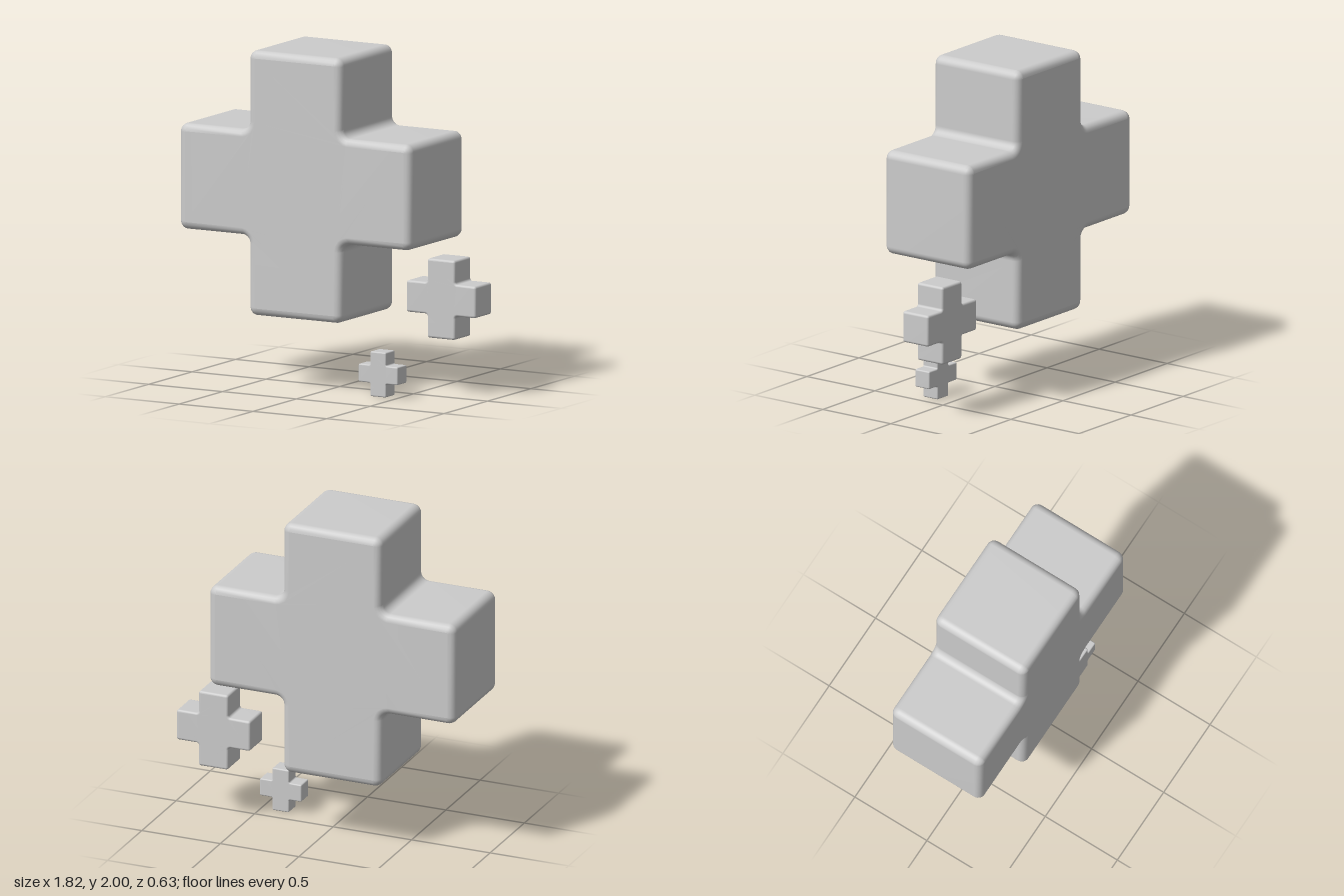
import * as THREE from 'three';
import { mergeVertices } from 'three/addons/utils/BufferGeometryUtils.js';

const SPAN = 0.785;   // half length of the cross
const ARM = 0.314;    // half width and half depth of an arm
const BEVEL = 0.045;
const ROUND = 0.05;   // outline corner radius

// Plus-shaped outline with rounded outer corners and filleted inner corners
function plusOutline() {
  const shape = new THREE.Shape();
  const q = Math.PI / 2;
  for (let k = 0; k < 4; k++) {
    const t = k * q;
    const arc = (x, y, from, to, clockwise) => {
      const p = new THREE.Vector2(x, y).rotateAround(new THREE.Vector2(), t);
      shape.absarc(p.x, p.y, ROUND, from + t, to + t, clockwise);
    };
    arc(ARM + ROUND, -ARM - ROUND, 2 * q, q, true);
    arc(SPAN - ROUND, -ARM + ROUND, -q, 0, false);
    arc(SPAN - ROUND, ARM - ROUND, 0, q, false);
  }
  return shape;
}

// Solid cross with soft bevelled edges and smooth normals
function plusGeometry() {
  const depth = 2 * (ARM - BEVEL);
  const extruded = new THREE.ExtrudeGeometry(plusOutline(), {
    depth,
    curveSegments: 4,
    bevelEnabled: true,
    bevelSize: BEVEL,
    bevelThickness: BEVEL,
    bevelOffset: -BEVEL,
    bevelSegments: 4,
  });
  extruded.translate(0, 0, -depth / 2);
  extruded.deleteAttribute('uv');
  extruded.deleteAttribute('normal');
  const geometry = mergeVertices(extruded, 1e-4);
  geometry.computeVertexNormals();
  return geometry;
}

export function createModel() {
  const group = new THREE.Group();
  group.name = 'plusSigns';
  const geometry = plusGeometry();
  const material = new THREE.MeshStandardMaterial({ color: 0xcccccc });

  // Name, centre and half length of each cross
  const crosses = [
    ['largePlus', -0.125, 1.215, 0, 0.785],
    ['mediumPlus', 0.675, 0.573, -0.11, 0.235],
    ['smallPlus', 0.376, 0.134, 0.147, 0.133],
  ];
  for (const [name, x, y, z, half] of crosses) {
    const mesh = new THREE.Mesh(geometry, material);
    mesh.name = name;
    mesh.position.set(x, y, z);
    mesh.scale.setScalar(half / SPAN);
    group.add(mesh);
  }
  return group;
}
